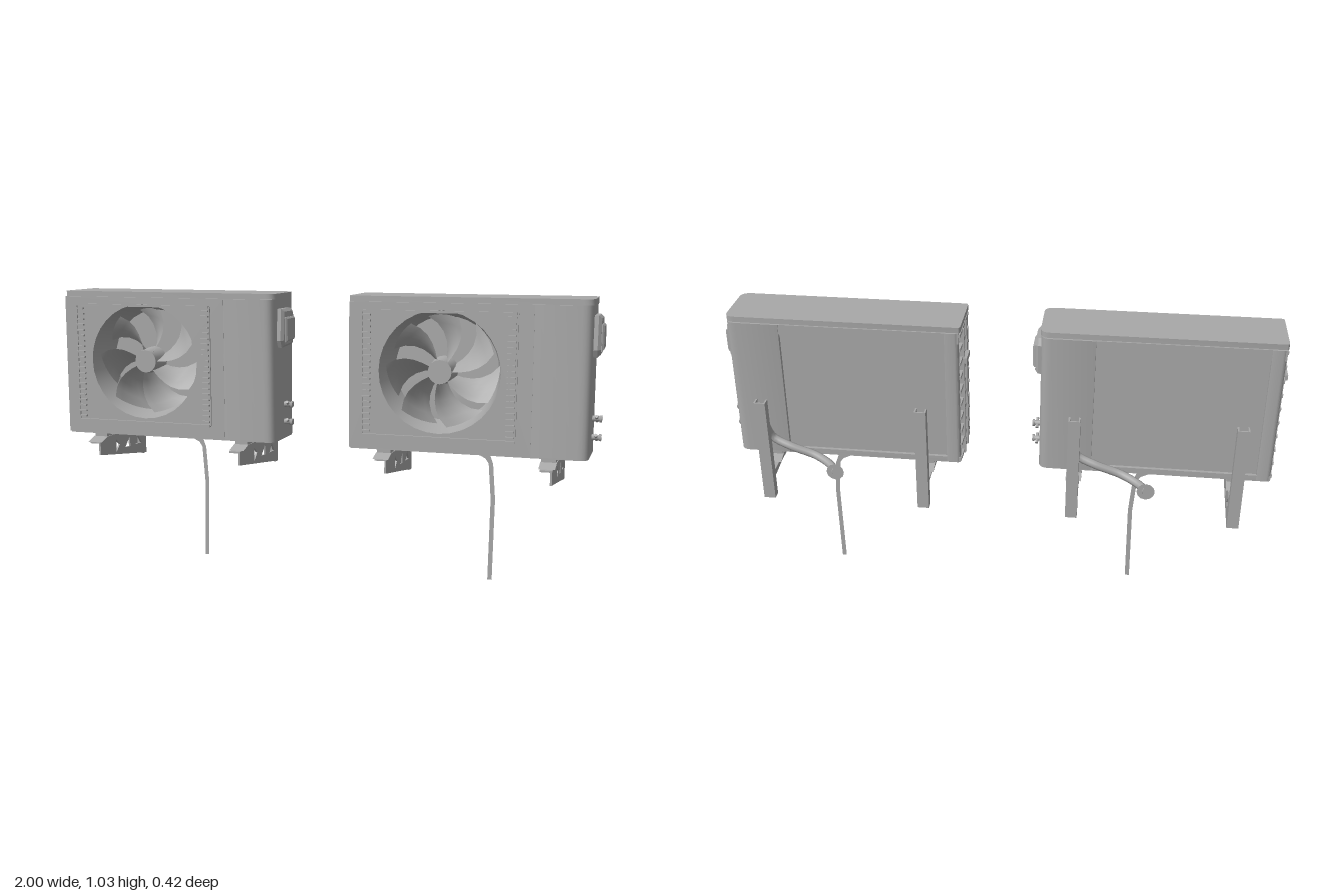
import * as THREE from 'three';
import { toCreasedNormals } from 'three/addons/utils/BufferGeometryUtils.js';

const gray = new THREE.MeshStandardMaterial({ color: 0xa8a8a8, side: THREE.DoubleSide });
gray.name = 'plain gray';

function add(group, name, geometry) {
  const mesh = new THREE.Mesh(geometry, gray);
  mesh.name = name;
  group.add(mesh);
  return mesh;
}

// Box given by its limits on each axis
function box(group, name, x0, x1, y0, y1, z0, z1) {
  const g = new THREE.BoxGeometry(x1 - x0, y1 - y0, z1 - z0);
  return add(group, name, g.translate((x0 + x1) / 2, (y0 + y1) / 2, (z0 + z1) / 2));
}

// Upright slab from a plan with separate corner radii at its left and right ends
function slab(group, name, x0, x1, y0, y1, z0, z1, ra, rb) {
  const s = new THREE.Shape();
  s.moveTo(x0 + ra, -z1);
  s.lineTo(x1 - rb, -z1);
  s.quadraticCurveTo(x1, -z1, x1, -z1 + rb);
  s.lineTo(x1, -z0 - rb);
  s.quadraticCurveTo(x1, -z0, x1 - rb, -z0);
  s.lineTo(x0 + ra, -z0);
  s.quadraticCurveTo(x0, -z0, x0, -z0 - ra);
  s.lineTo(x0, -z1 + ra);
  s.quadraticCurveTo(x0, -z1, x0 + ra, -z1);
  const g = new THREE.ExtrudeGeometry(s, { depth: y1 - y0, bevelEnabled: false, curveSegments: 5 });
  g.rotateX(-Math.PI / 2).translate(0, y0, 0);
  return add(group, name, toCreasedNormals(g, 0.6));
}

// Extrudes a (z, y) profile along x
function sideExtrude(points, holes, x, depth, bevel = 0) {
  const toV = ([z, y]) => new THREE.Vector2(-z, y);
  const s = new THREE.Shape(points.map(toV));
  s.holes = holes.map(h => new THREE.Path(h.map(toV)));
  const g = new THREE.ExtrudeGeometry(s, {
    depth, bevelEnabled: bevel > 0, bevelSize: bevel, bevelThickness: bevel, bevelOffset: -bevel, bevelSegments: 1,
  });
  return g.rotateY(Math.PI / 2).translate(x, 0, 0);
}

const FX = -0.66, FY = 0.773, FR = 0.213; // fan centre and opening radius

function buildCasing(u) {
  slab(u, 'topLid', -0.985, -0.147, 1.01, 1.03, -0.072, 0.14, 0.012, 0.035);
  slab(u, 'basePan', -0.98, -0.15, 0.493, 0.505, -0.078, 0.15, 0.012, 0.035);
  slab(u, 'rightCompartment', -0.34, -0.15, 0.497, 1.01, -0.08, 0.153, 0.001, 0.035);

  // Front panel with the round fan opening
  const s = new THREE.Shape();
  s.moveTo(-0.98, 0.497).lineTo(-0.34, 0.497).lineTo(-0.34, 1.01).lineTo(-0.98, 1.01).closePath();
  const hole = new THREE.Path();
  hole.absarc(FX, FY, FR, 0, Math.PI * 2, true);
  s.holes.push(hole);
  const front = new THREE.ExtrudeGeometry(s, { depth: 0.02, bevelEnabled: false, curveSegments: 16 });
  add(u, 'frontPanel', front.translate(0, 0, 0.133));

  // Coil behind its frame, at the back and round the left side
  box(u, 'backCoil', -0.965, -0.34, 0.5, 1.01, -0.066, 0.015);
  box(u, 'leftCoil', -0.965, -0.95, 0.5, 1.01, -0.066, 0.135);
  box(u, 'backTopRail', -0.98, -0.34, 0.97, 1.01, -0.078, -0.06);
  box(u, 'backBottomRail', -0.98, -0.34, 0.497, 0.515, -0.078, -0.06);
  slab(u, 'backLeftPost', -0.98, -0.93, 0.497, 1.01, -0.08, -0.05, 0.015, 0.002);
  box(u, 'frontLeftPost', -0.98, -0.96, 0.497, 1.01, 0.12, 0.14);

  // Left guard grid
  for (let i = 0; i < 10; i++) {
    const y = 0.505 + i * 0.054;
    box(u, 'guardRow', -0.985, -0.96, y, y + 0.012, -0.07, 0.13);
  }
  for (const z of [-0.01, 0.055]) box(u, 'guardColumn', -0.99, -0.962, 0.5, 1.0, z - 0.006, z + 0.006);
  box(u, 'sideGrip', -1.0, -0.965, 0.87, 0.89, -0.02, 0.05);
}

function buildFan(u) {
  const fan = new THREE.Group();
  fan.name = 'fan';
  fan.position.set(FX, FY, 0);
  u.add(fan);

  // Recessed bowl
  const bowl = [[0, 0.02], [0.185, 0.02], [0.198, 0.06], [FR, 0.153]].map(p => new THREE.Vector2(...p));
  add(fan, 'fanBowl', toCreasedNormals(new THREE.LatheGeometry(bowl, 32).rotateX(Math.PI / 2), 0.6));

  const hub = new THREE.CylinderGeometry(0.042, 0.05, 0.08, 16);
  add(fan, 'fanHub', toCreasedNormals(hub.rotateX(Math.PI / 2).translate(0, 0, 0.1), 0.6));

  // Swept, twisted blades
  for (let i = 0; i < 7; i++) {
    const g = new THREE.PlaneGeometry(1, 1, 5, 5);
    const p = g.attributes.position;
    for (let k = 0; k < p.count; k++) {
      const a = p.getX(k) + 0.5, b = p.getY(k) + 0.5;
      const r = 0.04 + 0.155 * a;
      const t = i * Math.PI * 2 / 7 + 0.35 * a * a + b * (0.5 + 0.15 * a);
      p.setXYZ(k, r * Math.cos(t), r * Math.sin(t), 0.135 - 0.075 * b - 0.01 * a);
    }
    g.computeVertexNormals();
    add(fan, 'fanBlade', g);
  }
}

function buildGrille(u) {
  // Top and bottom bars with short slats down both sides
  for (const y of [0.545, 0.98]) box(u, 'grilleBar', -0.93, -0.395, y - 0.004, y + 0.004, 0.15, 0.163);
  for (const x of [-0.932, -0.393]) box(u, 'grilleEdge', x - 0.002, x + 0.002, 0.545, 0.98, 0.15, 0.158);
  for (let i = 0; i < 21; i++) {
    const y = 0.56 + i * 0.0203;
    for (const x of [-0.917, -0.412]) box(u, 'grilleSlat', x - 0.015, x + 0.015, y - 0.003, y + 0.003, 0.15, 0.164);
  }
}

function buildServiceSide(u) {
  // Cable cover on the right side
  const cover = [[0.1, 0.975], [0, 0.975], [-0.015, 0.95], [-0.01, 0.84], [0.095, 0.835], [0.108, 0.86]];
  add(u, 'cableCover', sideExtrude(cover, [], -0.16, 0.024, 0.01));
  const lid = [[0.09, 0.945], [0.0, 0.945], [0.0, 0.86], [0.09, 0.855]];
  add(u, 'cableCoverLid', sideExtrude(lid, [], -0.13, 0.007, 0.006));

  // Two service valves
  for (const y of [0.62, 0.555]) {
    const stem = new THREE.CylinderGeometry(0.008, 0.011, 0.035, 8).rotateZ(-Math.PI / 2);
    add(u, 'valveStem', stem.translate(-0.135, y, 0.028));
    const cap = new THREE.CylinderGeometry(0.013, 0.013, 0.008, 6).rotateZ(Math.PI / 2);
    add(u, 'valveCap', cap.translate(-0.122, y, 0.028));
    const cross = new THREE.CylinderGeometry(0.006, 0.006, 0.042, 6).rotateX(Math.PI / 3);
    add(u, 'valvePort', cross.translate(-0.135, y, 0.028));
  }
}

function buildBracket(u, x, front) {
  const b = new THREE.Group();
  b.name = 'wallBracket';
  u.add(b);
  // Tapered arm with triangular cutouts
  const arm = [[front, 0.465], [-0.17, 0.465], [-0.17, 0.362], [front, 0.415]];
  const holes = [
    [[0.062, 0.455], [0.062, 0.405], [0.032, 0.432]],
    [[-0.012, 0.412], [-0.05, 0.448], [-0.055, 0.408]],
    [[-0.098, 0.408], [-0.122, 0.442], [-0.15, 0.408]],
  ];
  add(b, 'bracketArm', sideExtrude(arm, holes, x + 0.014, 0.007));
  box(b, 'bracketFlange', x - 0.021, x + 0.021, 0.459, 0.465, -0.17, front);
  // Upright channel against the wall
  box(b, 'uprightBack', x - 0.021, x + 0.021, 0.36, 0.755, -0.192, -0.186);
  for (const s of [-1, 1]) box(b, 'uprightSide', x + s * 0.018 - 0.003, x + s * 0.018 + 0.003, 0.36, 0.755, -0.19, -0.16);
  // Mounting rail and feet
  const foot = [[0.19, 0.465], [0.14, 0.48], [-0.06, 0.48], [-0.11, 0.465]];
  add(b, 'mountingFoot', sideExtrude(foot, [], x - 0.028, 0.056));
  for (const z of [-0.04, 0.11]) box(b, 'footPad', x - 0.025, x + 0.025, 0.478, 0.495, z - 0.03, z + 0.03);
}

function buildLines(u) {
  // Insulated pipe with a wall flange
  const path = new THREE.CatmullRomCurve3([
    [-0.275, 0.63, -0.13], [-0.29, 0.575, -0.112], [-0.36, 0.545, -0.122],
    [-0.45, 0.515, -0.125], [-0.51, 0.502, -0.16], [-0.54, 0.5, -0.2],
  ].map(p => new THREE.Vector3(...p)));
  add(u, 'pipe', new THREE.TubeGeometry(path, 20, 0.015, 8));
  const flange = new THREE.CylinderGeometry(0.02, 0.032, 0.014, 12).rotateX(Math.PI / 2);
  add(u, 'wallFlange', flange.translate(-0.54, 0.498, -0.198));

  // Flat drain hose
  const line = [[-0.575, 0.492], [-0.55, 0.472], [-0.515, 0.455], [-0.503, 0.43], [-0.493, 0.3], [-0.498, 0.0]];
  const g = new THREE.PlaneGeometry(1, 1, 1, line.length - 1);
  const p = g.attributes.position;
  line.forEach(([x, y], i) => {
    const lift = i < 3 ? 0.007 : 0;
    p.setXYZ(2 * i, x - 0.008, y - lift, -0.028);
    p.setXYZ(2 * i + 1, x + 0.008, y + lift, -0.028);
  });
  g.computeVertexNormals();
  add(u, 'drainHose', g);
}

function buildUnit() {
  const u = new THREE.Group();
  u.name = 'outdoorUnit';
  buildCasing(u);
  buildFan(u);
  buildGrille(u);
  buildServiceSide(u);
  buildBracket(u, -0.855, 0.185);
  buildBracket(u, -0.28, 0.208);
  buildLines(u);
  return u;
}

export function createModel() {
  const model = new THREE.Group();
  model.name = 'outdoorUnits';
  for (const x of [0, 1.115]) {
    const unit = buildUnit();
    unit.position.x = x;
    model.add(unit);
  }
  return model;
}
